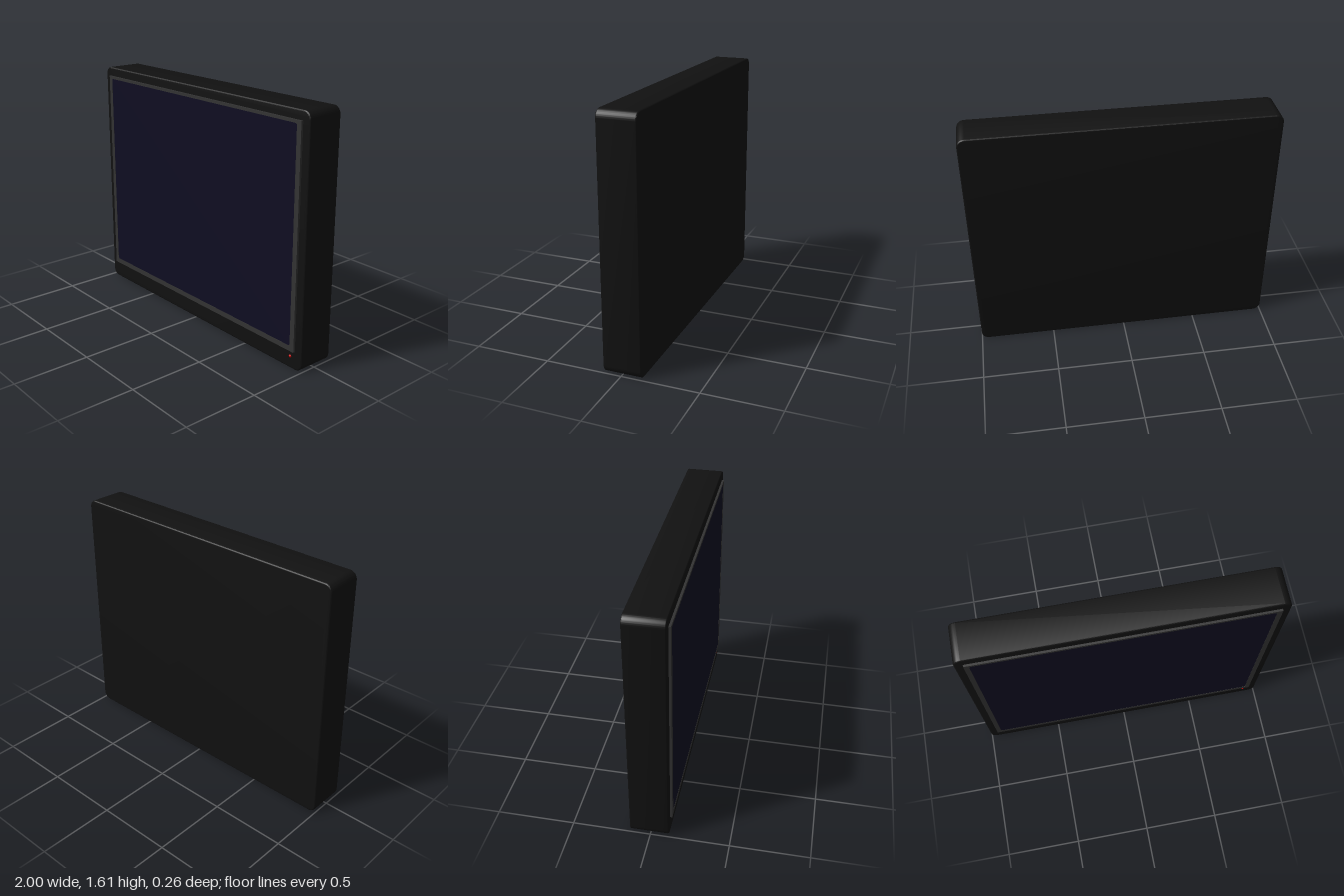
import * as THREE from 'three';
import { toCreasedNormals } from 'three/addons/utils/BufferGeometryUtils.js';

// Rounded rectangle outline (works for shapes and holes)
function roundedRect(target, x0, y0, x1, y1, r) {
  target.moveTo(x0 + r, y0);
  target.lineTo(x1 - r, y0);
  target.absarc(x1 - r, y0 + r, r, -Math.PI / 2, 0);
  target.lineTo(x1, y1 - r);
  target.absarc(x1 - r, y1 - r, r, 0, Math.PI / 2);
  target.lineTo(x0 + r, y1);
  target.absarc(x0 + r, y1 - r, r, Math.PI / 2, Math.PI);
  target.lineTo(x0, y0 + r);
  target.absarc(x0 + r, y0 + r, r, Math.PI, Math.PI * 1.5);
  return target;
}

// Slab between z0 and z1, with the bevel kept inside the outline's size
function slab(shape, z0, z1, bevel = 0) {
  const geo = new THREE.ExtrudeGeometry(shape, {
    depth: z1 - z0 - 2 * bevel,
    bevelEnabled: bevel > 0,
    bevelSize: bevel,
    bevelThickness: bevel,
    bevelOffset: -bevel,
    bevelSegments: 3,
    curveSegments: 8,
  });
  geo.translate(0, 0, z0 + bevel);
  return toCreasedNormals(geo, 0.6);
}

export function createModel() {
  const group = new THREE.Group();
  const add = (name, geo, color) => {
    const mesh = new THREE.Mesh(geo, new THREE.MeshStandardMaterial({ color }));
    mesh.name = name;
    group.add(mesh);
    return mesh;
  };

  // Deep casing with rounded corners
  add('casing', slab(roundedRect(new THREE.Shape(), -1, 0, 1, 1.608, 0.05), -0.131, 0.117, 0.008), 0x111111);

  // Thin raised frame around the screen
  const frame = new THREE.Shape([
    new THREE.Vector2(-0.946, 0.12), new THREE.Vector2(0.946, 0.12),
    new THREE.Vector2(0.946, 1.548), new THREE.Vector2(-0.946, 1.548),
  ]);
  frame.holes.push(roundedRect(new THREE.Path(), -0.915, 0.155, 0.912, 1.53, 0.012));
  add('screenFrame', slab(frame, 0.11, 0.131), 0x333333);

  // Dark glass panel filling the frame
  add('screen', slab(roundedRect(new THREE.Shape(), -0.915, 0.155, 0.912, 1.53, 0.012), 0.11, 0.13), 0x0f0d22);

  // Small red power light
  add('powerLight', new THREE.SphereGeometry(0.01, 16, 12), 0xcc0000).position.set(0.908, 0.08, 0.115);

  return group;
}
